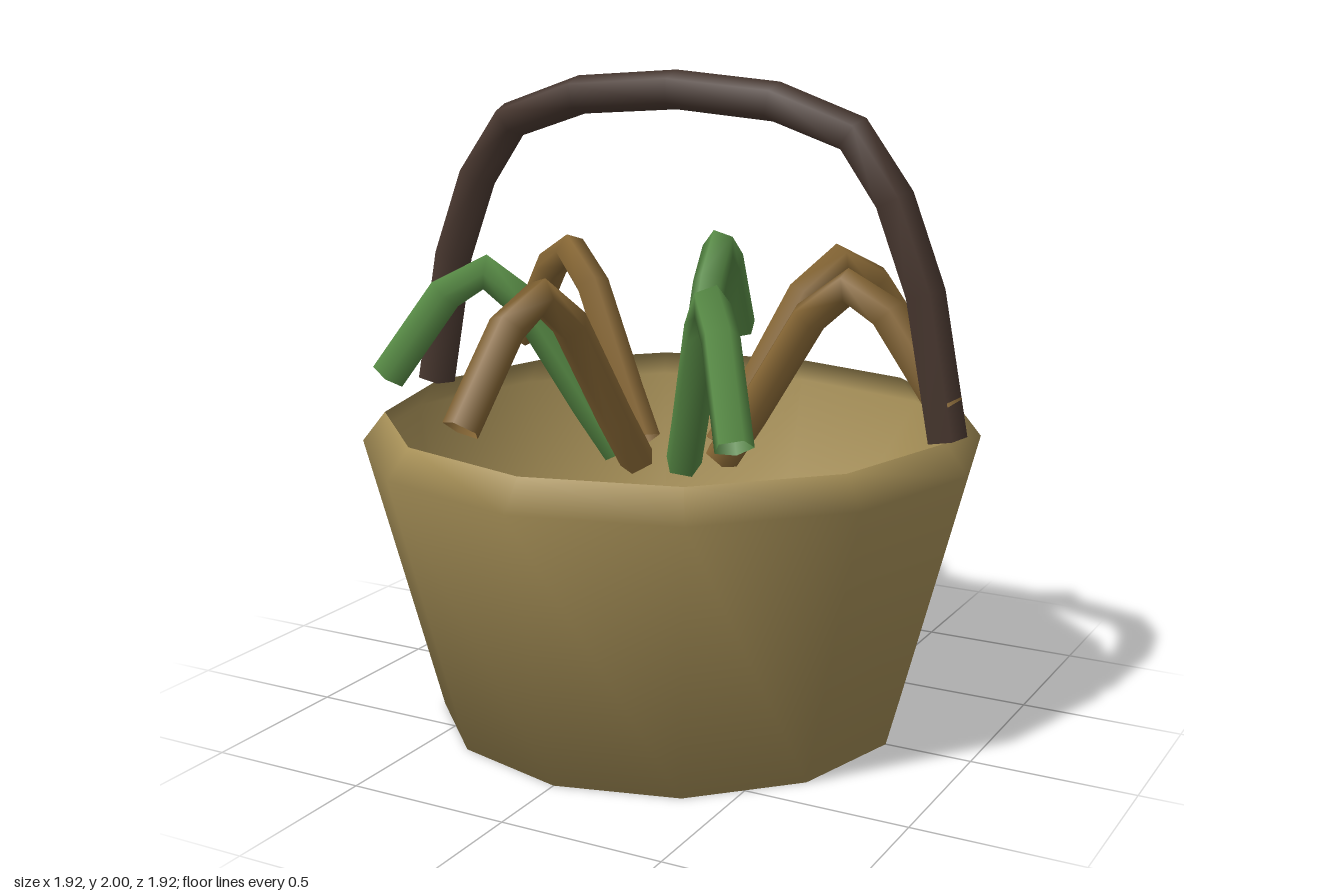
import * as THREE from 'three';

const material = (name, color, side = THREE.DoubleSide) => {
  const m = new THREE.MeshStandardMaterial({ color, side });
  m.name = name;
  return m;
};

// Straight-segment path whose corners become the rings of a tube
class Polyline extends THREE.Curve {
  constructor(points) {
    super();
    this.points = points;
  }
  getPoint(t, target = new THREE.Vector3()) {
    const n = this.points.length - 1;
    const s = THREE.MathUtils.clamp(t, 0, 1) * n;
    const i = Math.min(Math.floor(s), n - 1);
    return target.lerpVectors(this.points[i], this.points[i + 1], s - i);
  }
  getPointAt(u, target) { return this.getPoint(u, target); }
  getTangentAt(u, target) { return this.getTangent(u, target); }
}

// Five-sided tube in the xy plane, with one edge of its section towards -z
function fiveSidedTube(points, radius) {
  const path = new Polyline(points.map(([x, y]) => new THREE.Vector3(-x, y, 0)));
  return new THREE.TubeGeometry(path, points.length - 1, radius, 5).rotateY(Math.PI);
}

export function createModel() {
  const model = new THREE.Group();
  model.name = 'basket';

  const straw = material('straw', 0xa89158);
  const darkWood = material('dark wood', 0x48372f);
  const green = material('stem green', 0x578a45);
  const brown = material('stem brown', 0x876735);

  const add = (name, geometry, mat) => {
    const mesh = new THREE.Mesh(geometry, mat);
    mesh.name = name;
    model.add(mesh);
    return mesh;
  };

  // Open twelve-sided body with a turned-in rim
  const profile = [[0, 0], [0.73, 0], [0.96, 0.87], [0.89, 0.96]]
    .map(([r, y]) => new THREE.Vector2(r, y));
  add('basketBody', new THREE.LatheGeometry(profile, 12), straw);

  // Arched handle, mirrored from one half
  const half = [[0.89, 0.97], [0.81, 1.39], [0.71, 1.65], [0.58, 1.83], [0.33, 1.915]];
  const arch = [...half, [0, 1.94], ...half.map(([x, y]) => [-x, y]).reverse()];
  add('handle', fiveSidedTube(arch, 0.062), darkWood);

  // Ring of seven drooping stems in alternating colours
  const stemPath = [[0.165, 0.83], [0.26, 0.975], [0.45, 1.29], [0.575, 1.39], [0.7, 1.32], [0.885, 1.06]];
  const stemGeometry = fiveSidedTube(stemPath, 0.057);
  const count = 7;
  for (let i = 0; i < count; i++) {
    const stem = add('stem' + (i + 1), stemGeometry, i % 2 ? green : brown);
    stem.rotation.y = -(i / count) * Math.PI * 2;
  }

  return model;
}
